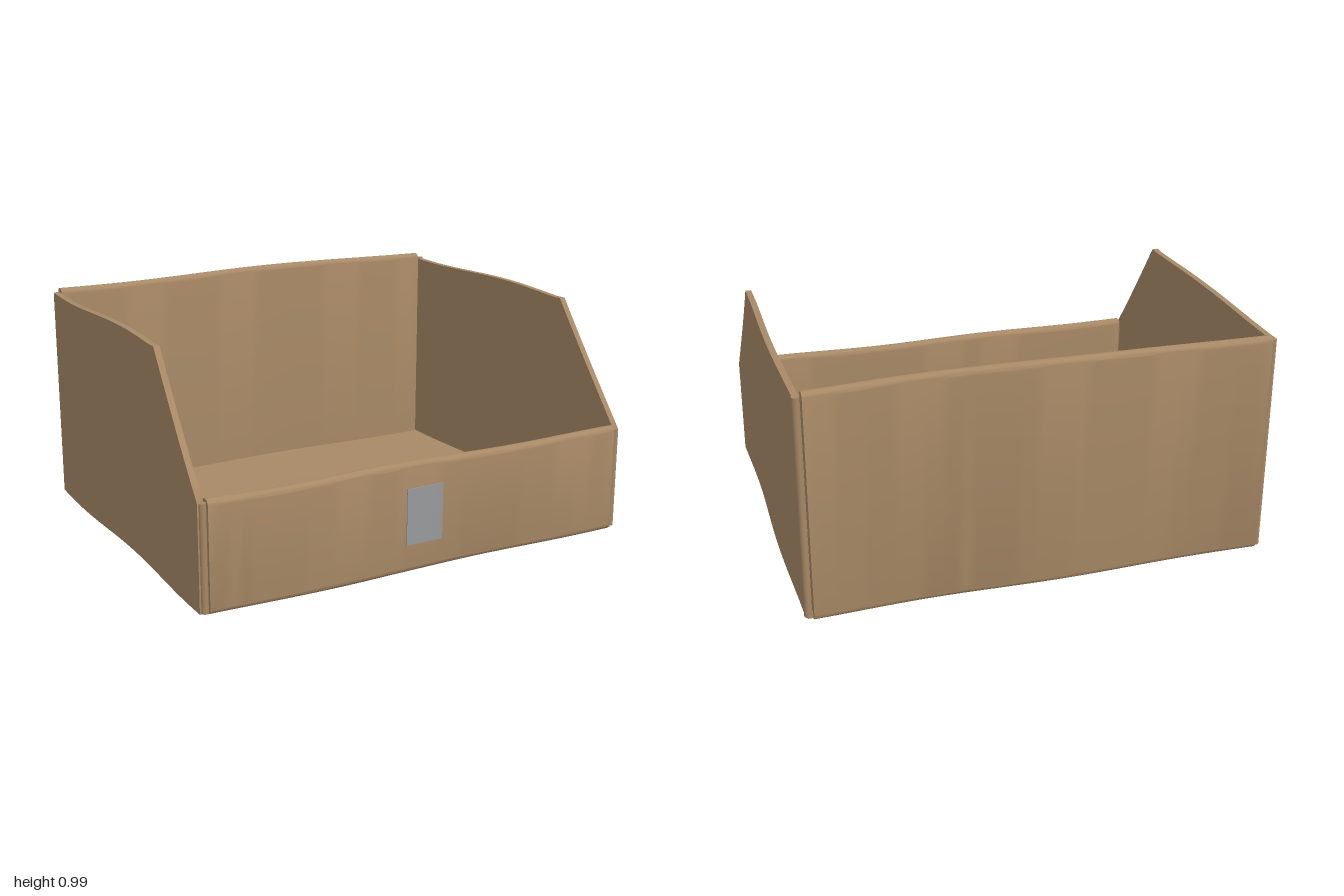
import * as THREE from 'three';
import { toCreasedNormals } from 'three/addons/utils/BufferGeometryUtils.js';

// Moves every vertex by a rule, then rebuilds the normals
function warp(geometry, rule) {
  const p = geometry.attributes.position;
  const v = new THREE.Vector3();
  for (let i = 0; i < p.count; i++) {
    v.fromBufferAttribute(p, i);
    rule(v);
    p.setXYZ(i, v.x, v.y, v.z);
  }
  return toCreasedNormals(geometry, 0.7);
}

// Gentle sag and bulge of the cardboard
const bulge = (v) => {
  const side = Math.sign(v.z);
  v.z += side < 0 ? -0.006 * Math.cos(5.7 * v.x) : -0.005 * Math.sin(5 * v.x + 1.2);
};
const lift = (x, z) => 0.004 * Math.cos(5 * z) + 0.003 * Math.sin(5 * x);

// Folded panel: rounded section in (depth, height), swept along x
function foldedPanel(height, z, topWave) {
  const t = 0.05, r = 0.025, b = 0.012;
  const s = new THREE.Shape();
  s.moveTo(-r + 0.01, b);
  s.lineTo(0, b);
  s.absarc(0, b + r, r, -Math.PI / 2, 0, false);
  s.lineTo(r, height - r);
  s.absarc(0, height - r, r, 0, Math.PI, false);
  s.lineTo(-t / 2, b + 0.01);
  s.closePath();
  const len = 1.91;
  const g = new THREE.ExtrudeGeometry(s, { depth: len, steps: 40, bevelEnabled: false, curveSegments: 6 });
  g.translate(0, 0, -len / 2);
  // the section's depth axis points outward on either wall
  g.rotateY(z > 0 ? -Math.PI / 2 : Math.PI / 2);
  g.translate(-0.003, 0, z);
  return warp(g, (v) => {
    const k = v.y / height;
    v.y += k * topWave(v.x) + (1 - k) * lift(v.x, 0.8);
    bulge(v);
  });
}

// Side panel: full height at the back, sloping down to the front wall
function sidePanel(side) {
  const g = new THREE.BoxGeometry(0.026, 1, 1.6, 1, 8, 32);
  return warp(g, (v) => {
    const top = v.z <= 0.4 ? 0.968 + 0.004 * Math.cos(5 * v.z) : 0.97 - (v.z - 0.4) * 1.27;
    const k = v.y + 0.5;
    v.y = 0.018 + lift(side * 0.95, v.z) + k * (top - 0.018);
    v.x += side * 0.975 + 0.006 * Math.sin(5.2 * v.z + (side > 0 ? 2.6 : 0.8));
  });
}

export function createModel() {
  const cardboard = new THREE.MeshStandardMaterial({ color: 0xa88966 });
  cardboard.name = 'cardboard';
  const grey = new THREE.MeshStandardMaterial({ color: 0x989a9c });
  grey.name = 'label grey';

  const model = new THREE.Group();
  model.name = 'openBox';
  const add = (name, geometry, material = cardboard) => {
    const m = new THREE.Mesh(geometry, material);
    m.name = name;
    model.add(m);
    return m;
  };

  // Floor
  const floor = new THREE.BoxGeometry(1.95, 0.026, 1.6, 40, 1, 32);
  floor.translate(0, 0.026, 0);
  add('floor', warp(floor, (v) => { v.y += lift(v.x, v.z); }));

  // Folded front and back walls
  add('frontWall', foldedPanel(0.475, 0.795, (x) => 0.004 * Math.cos(6 * x + 1)));
  add('backWall', foldedPanel(0.992, -0.797, (x) => 0.008 * Math.sin(Math.PI * (x + 0.3))));

  // Side walls
  add('leftWall', sidePanel(1));
  add('rightWall', sidePanel(-1));

  // Rounded fold strips at the four upright corners
  for (const sx of [-1, 1]) {
    for (const [sz, h] of [[1, 0.46], [-1, 0.965]]) {
      const strip = new THREE.CylinderGeometry(0.016, 0.016, h - 0.02, 10);
      strip.translate(sx * 0.972, (h + 0.02) / 2, sz * 0.796);
      add('cornerFold', strip);
    }
  }

  // Label on the front wall, following its bulge
  const label = new THREE.BoxGeometry(0.17, 0.24, 0.004, 8, 1, 1);
  label.translate(-0.008, 0.25, 0.822);
  add('label', warp(label, bulge), grey);

  return model;
}
